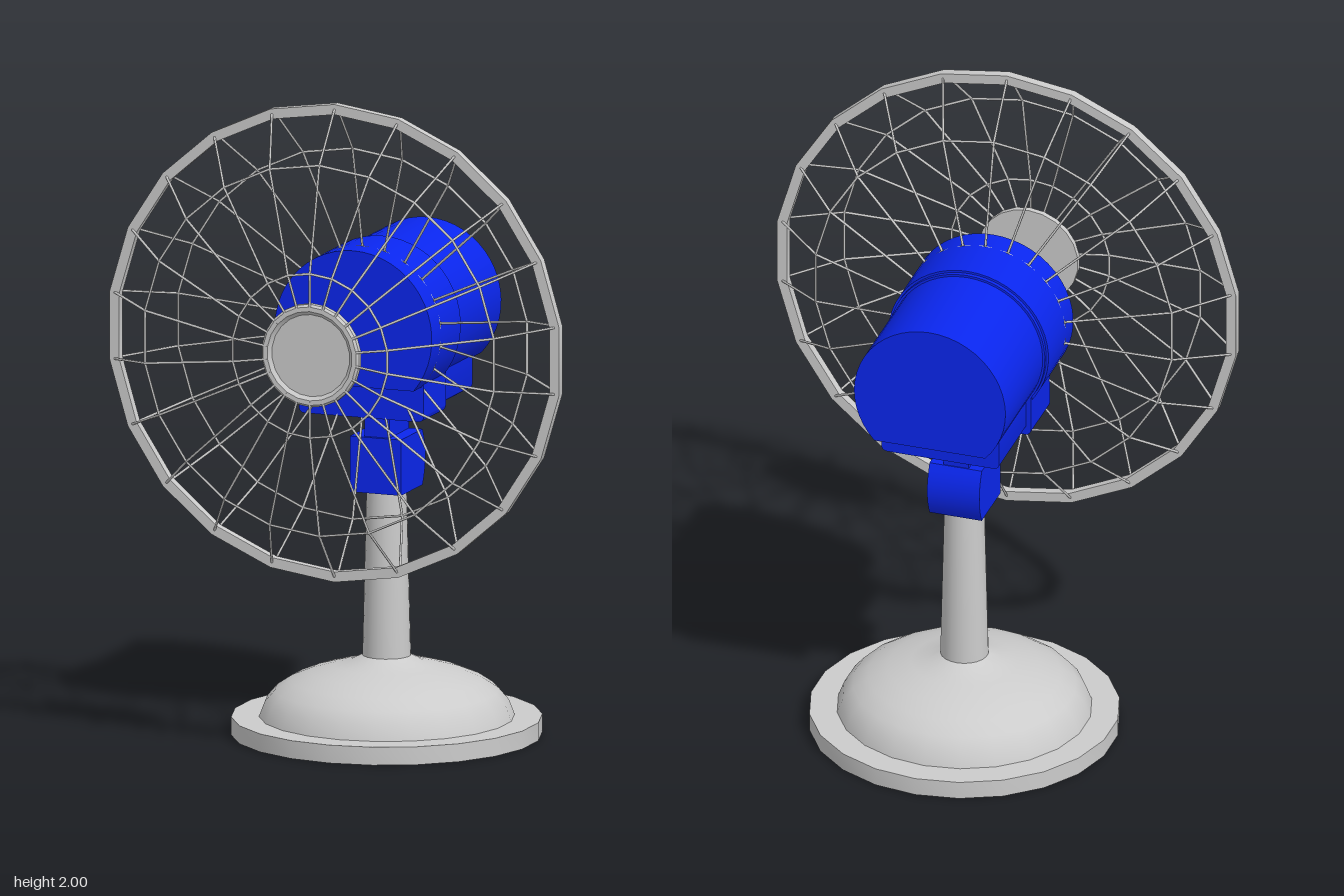
import * as THREE from 'three';
import { mergeGeometries, toCreasedNormals } from 'three/addons/utils/BufferGeometryUtils.js';

const SIDES = 22;      // facets of every round part, spokes of the guard
const HEAD_Y = 1.272;  // height of the fan axis
const STAND_Z = -0.082;
const GUARD_Z = 0.33;  // plane of the guard rim
const WIRE = 0.004;

const grey = new THREE.MeshStandardMaterial({ color: 0xcccccc });
const blue = new THREE.MeshStandardMaterial({ color: 0x0a26ee });

function addMesh(parent, name, geometry, material) {
  const mesh = new THREE.Mesh(geometry, material);
  mesh.name = name;
  parent.add(mesh);
  return mesh;
}

function lathe(points, crease = 0.6) {
  const profile = points.map(([r, y]) => new THREE.Vector2(r, y));
  return toCreasedNormals(new THREE.LatheGeometry(profile, SIDES), crease);
}

// Extrudes a front-facing outline between two depths
function extrudeZ(shape, z0, z1) {
  const geo = new THREE.ExtrudeGeometry(shape, { depth: z1 - z0, bevelEnabled: false, curveSegments: 18 });
  geo.translate(0, 0, z0);
  return toCreasedNormals(geo, 0.5);
}

// Circle cut flat along the bottom
function motorShape(radius) {
  const a = Math.asin(0.162 / radius);
  const shape = new THREE.Shape();
  shape.absarc(0, HEAD_Y, radius, -a, Math.PI + a, false);
  shape.closePath();
  return shape;
}

// Block outline with rounded lower corners
function blockShape(w, y0, y1, r) {
  const s = new THREE.Shape();
  s.moveTo(-w, y1);
  s.lineTo(-w, y0 + r);
  s.quadraticCurveTo(-w, y0, -w + r, y0);
  s.lineTo(w - r, y0);
  s.quadraticCurveTo(w, y0, w, y0 + r);
  s.lineTo(w, y1);
  s.closePath();
  return s;
}

// Thin rod between two points
function rod(a, b) {
  const dir = b.clone().sub(a);
  const geo = new THREE.CylinderGeometry(WIRE, WIRE, dir.length(), 5);
  geo.applyQuaternion(new THREE.Quaternion().setFromUnitVectors(
    new THREE.Vector3(0, 1, 0), dir.clone().normalize()));
  const mid = a.clone().add(b).multiplyScalar(0.5);
  return geo.translate(mid.x, mid.y, mid.z);
}

function createStand() {
  const stand = new THREE.Group();
  stand.name = 'stand';
  stand.position.z = STAND_Z;
  addMesh(stand, 'basePlate', lathe([[0, 0], [0.465, 0], [0.465, 0.055], [0, 0.055]]), grey);
  addMesh(stand, 'baseDome', lathe([
    [0.382, 0.055], [0.365, 0.1], [0.335, 0.135], [0.29, 0.165], [0.23, 0.19],
    [0.16, 0.21], [0.11, 0.222], [0.07, 0.242],
  ], 0.8), grey);
  addMesh(stand, 'pole', lathe([[0.073, 0.22], [0.06, 0.76], [0, 0.76]]), grey);
  return stand;
}

function createMotor() {
  const motor = new THREE.Group();
  motor.name = 'motorHousing';
  addMesh(motor, 'frontHousing', extrudeZ(motorShape(0.252), -0.045, 0.19), blue);
  addMesh(motor, 'housingSeam', extrudeZ(motorShape(0.245), -0.058, -0.045), blue);
  addMesh(motor, 'rearHousing', extrudeZ(motorShape(0.238), -0.41, -0.05), blue);
  addMesh(motor, 'frontBlock', extrudeZ(blockShape(0.2, 1.003, 1.14, 0.02), -0.055, 0.125), blue);
  addMesh(motor, 'rearBlock', extrudeZ(blockShape(0.185, 1.02, 1.14, 0.02), -0.31, -0.05), blue);

  // Neck and tilt joint with a rounded back
  const neck = addMesh(motor, 'neck', new THREE.BoxGeometry(0.08, 0.16, 0.16), blue);
  neck.position.set(0, 0.96, -0.082);
  const side = new THREE.Shape();
  side.moveTo(-0.01, 0.748);
  side.lineTo(0.165, 0.748);
  side.quadraticCurveTo(0.212, 0.833, 0.165, 0.918);
  side.lineTo(-0.01, 0.918);
  side.closePath();
  const joint = new THREE.ExtrudeGeometry(side, { depth: 0.164, bevelEnabled: false, curveSegments: 8 });
  joint.translate(0, 0, -0.082).rotateY(Math.PI / 2);
  addMesh(motor, 'tiltJoint', toCreasedNormals(joint, 0.5), blue);
  return motor;
}

function createGuard() {
  const guard = new THREE.Group();
  guard.name = 'guard';
  guard.position.set(0, HEAD_Y, GUARD_Z);

  const rim = lathe([[0.697, -0.014], [0.728, -0.014], [0.728, 0.014], [0.697, 0.014], [0.697, -0.014]]);
  addMesh(guard, 'rim', rim.rotateX(Math.PI / 2), grey);
  const cap = lathe([
    [0, 0.19], [0.157, 0.19], [0.157, 0.208], [0.15, 0.215], [0.136, 0.215], [0.125, 0.205], [0, 0.205],
  ], 0.4);
  addMesh(guard, 'hubCap', cap.rotateX(Math.PI / 2), grey);

  // Spokes as radius and depth, front and rear
  const front = [[0.14, 0.212], [0.25, 0.212], [0.565, 0.135], [0.712, 0.012]];
  const rear = [[0.25, -0.215], [0.565, -0.135], [0.712, -0.012]];
  const wires = [];
  for (let i = 0; i < SIDES; i++) {
    const a = (i / SIDES) * Math.PI * 2;
    for (const path of [front, rear]) {
      const pts = path.map(([r, z]) => new THREE.Vector3(r * Math.sin(a), r * Math.cos(a), z));
      for (let k = 1; k < pts.length; k++) wires.push(rod(pts[k - 1], pts[k]));
    }
  }
  addMesh(guard, 'spokes', mergeGeometries(wires), grey);

  // Wire hoops tying the spokes together
  for (const [r, z] of [front[1], front[2], rear[0], rear[1]]) {
    const hoop = new THREE.TorusGeometry(r, WIRE, 5, SIDES);
    addMesh(guard, 'hoop', hoop.rotateZ(Math.PI / 2).translate(0, 0, z), grey);
  }
  return guard;
}

export function createModel() {
  const model = new THREE.Group();
  model.name = 'deskFan';
  model.add(createStand(), createMotor(), createGuard());
  return model;
}
